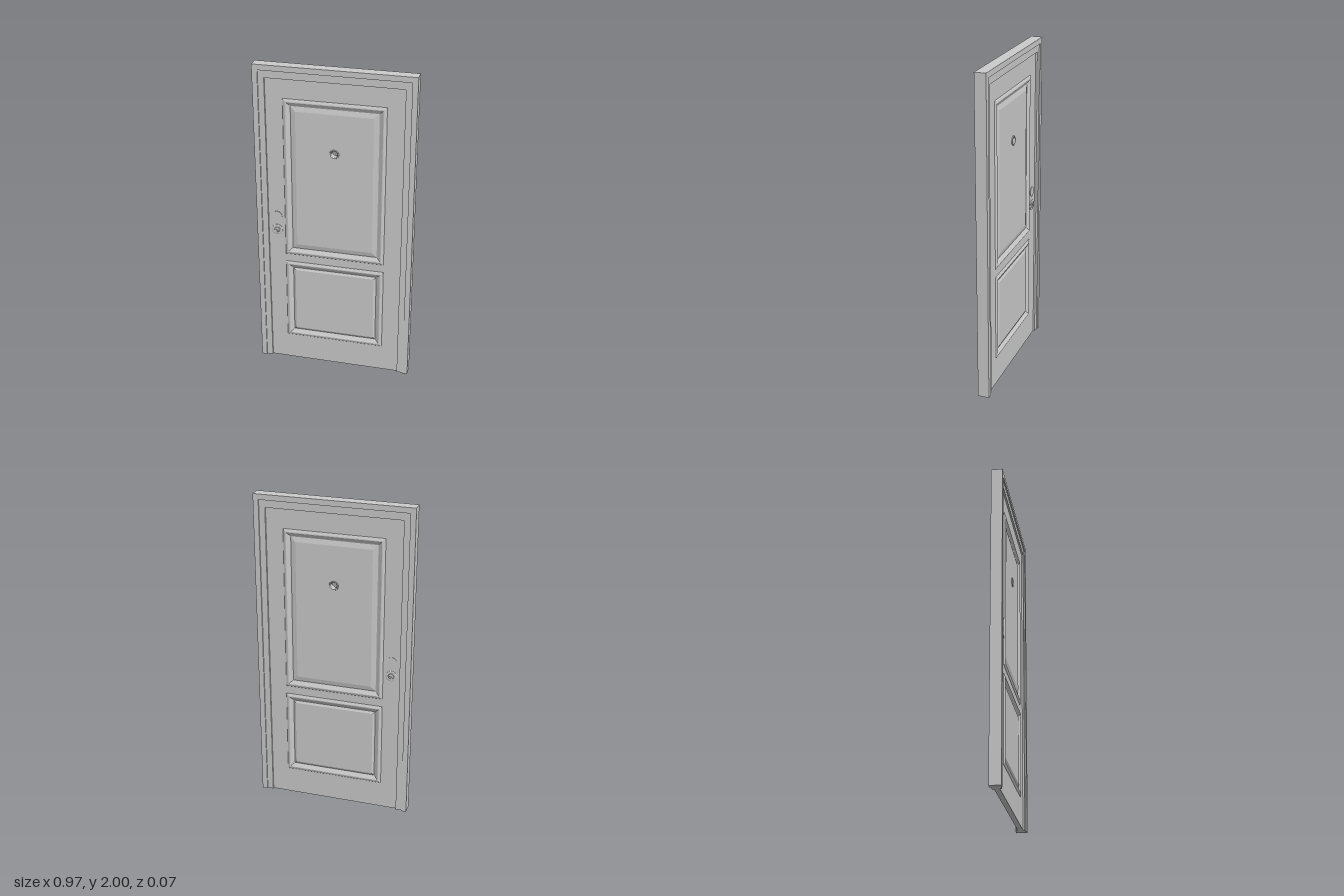
import * as THREE from 'three';

const mat = new THREE.MeshStandardMaterial({ color: 0xcccccc, flatShading: true, side: THREE.DoubleSide });
const SLAB = 0.016; // half thickness of the door leaf

function add(parent, name, geometry) {
  const mesh = new THREE.Mesh(geometry, mat);
  mesh.name = name;
  parent.add(mesh);
  return mesh;
}

// Corners of a rectangle r = [x half width, bottom, top], shrunk by inset
function corners([hw, y0, y1], inset) {
  const w = hw - inset, b = y0 + inset, t = y1 - inset;
  return [[-w, b], [w, b], [w, t], [-w, t]];
}

function rectPath(r, inset, PathType) {
  return new PathType(corners(r, inset).map(([x, y]) => new THREE.Vector2(x, y)));
}

function circleHole(x, y, radius) {
  return new THREE.Path().absarc(x, y, radius, 0, Math.PI * 2, true);
}

// U-shaped surround, open at the floor
function surround(outer, outerTop, inner, innerTop, halfDepth) {
  const shape = new THREE.Shape([
    [-outer, 0], [-inner, 0], [-inner, innerTop], [inner, innerTop],
    [inner, 0], [outer, 0], [outer, outerTop], [-outer, outerTop],
  ].map(([x, y]) => new THREE.Vector2(x, y)));
  const g = new THREE.ExtrudeGeometry(shape, { depth: halfDepth * 2, bevelEnabled: false });
  return g.translate(0, 0, -halfDepth);
}

// Mitred moulding: rectangle loops joined in order, each [inset, z]
function moulding(rect, profile) {
  const pos = [];
  for (let i = 0; i < profile.length - 1; i++) {
    const [p, q] = [profile[i], profile[i + 1]];
    const a = corners(rect, p[0]), b = corners(rect, q[0]);
    for (let k = 0; k < 4; k++) {
      const n = (k + 1) % 4;
      const A = [...a[k], p[1]], B = [...a[n], p[1]], C = [...b[n], q[1]], D = [...b[k], q[1]];
      pos.push(...A, ...B, ...C, ...A, ...C, ...D);
    }
  }
  const g = new THREE.BufferGeometry();
  g.setAttribute('position', new THREE.Float32BufferAttribute(pos, 3));
  g.computeVertexNormals();
  return g;
}

// Turned fitting whose axis points along z
function turned(points, segments) {
  const g = new THREE.LatheGeometry(points.map(([r, z]) => new THREE.Vector2(r, z)), segments);
  return g.rotateX(Math.PI / 2);
}

const PANELS = [
  { name: 'upperPanel', rect: [0.31, 0.772, 1.8], bevel: 0.03, viewer: true },
  { name: 'lowerPanel', rect: [0.31, 0.174, 0.72], bevel: 0.015, viewer: false },
];
const VIEWER = [0, 1.478];

// One face of the leaf with its panels and lock fittings
function doorFace() {
  const face = new THREE.Group();

  const sheet = rectPath([0.418, 0, 1.925], 0, THREE.Shape);
  PANELS.forEach(p => sheet.holes.push(rectPath(p.rect, 0, THREE.Path)));
  add(face, 'leafFace', new THREE.ShapeGeometry(sheet).translate(0, 0, SLAB));

  for (const p of PANELS) {
    const field = 0.045 + p.bevel;
    add(face, p.name + 'Moulding', moulding(p.rect, [
      [0, SLAB], [0.003, SLAB + 0.003], [0.015, SLAB + 0.008], [0.02, SLAB + 0.008],
      [0.04, SLAB - 0.003], [0.045, SLAB - 0.005], [field, SLAB + 0.002],
    ]));
    const shape = rectPath(p.rect, field, THREE.Shape);
    if (p.viewer) shape.holes.push(circleHole(...VIEWER, 0.024));
    add(face, p.name + 'Field', new THREE.ShapeGeometry(shape).translate(0, 0, SLAB + 0.002));
  }

  // Lock rose with a sunken key opening
  add(face, 'lockRose', turned([
    [0.034, SLAB - 0.002], [0.034, SLAB + 0.002], [0.03, SLAB + 0.004], [0.018, SLAB + 0.004],
    [0.016, SLAB + 0.006], [0.008, SLAB + 0.006], [0.007, SLAB - 0.006], [0, SLAB - 0.006],
  ], 20)).position.set(-0.361, 0.937, 0);

  // Shallow blank rose above the lock
  add(face, 'handleRose', turned([
    [0.032, SLAB - 0.002], [0.032, SLAB + 0.003], [0, SLAB + 0.003],
  ], 24)).position.set(-0.361, 1.03, 0);
  return face;
}

export function createModel() {
  const door = new THREE.Group();
  door.name = 'door';

  // Frame: full-depth casing and a stepped inner jamb
  add(door, 'frameCasing', surround(0.485, 2, 0.452, 1.966, 0.035));
  add(door, 'frameJamb', surround(0.452, 1.966, 0.415, 1.92, 0.027));

  // Matching front and back faces
  const front = doorFace();
  front.name = 'frontFace';
  const back = doorFace();
  back.name = 'backFace';
  back.scale.z = -1;
  door.add(front, back);

  // Bottom edge of the leaf
  add(door, 'leafBottom', new THREE.PlaneGeometry(0.83, SLAB * 2).rotateX(Math.PI / 2));

  // Open viewer sleeve through the upper panel
  const s = SLAB + 0.002;
  add(door, 'viewerSleeve', turned([
    [0.03, -s], [0.028, -s - 0.005], [0.023, -s - 0.005], [0.019, -s + 0.002],
    [0.019, s - 0.002], [0.023, s + 0.005], [0.028, s + 0.005], [0.03, s],
  ], 12)).position.set(...VIEWER, 0);

  // Latch plate on the lock side
  add(door, 'latchPlate', new THREE.BoxGeometry(0.004, 0.13, 0.024)).position.set(-0.414, 0.97, 0);

  return door;
}
